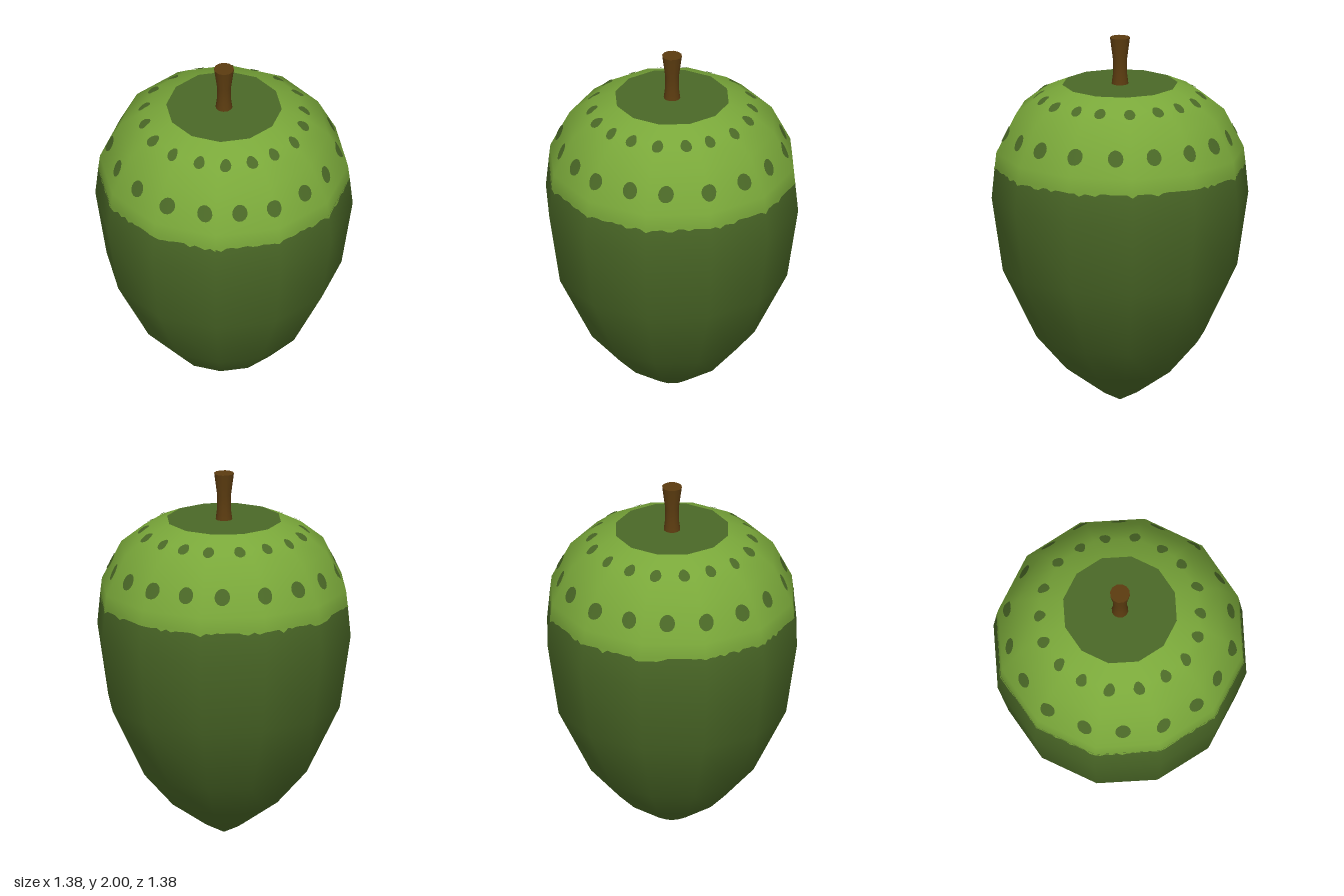
import * as THREE from 'three';

const SIDES = 12;
// Silhouette from the tip to the rim of the flat top; the cap starts at CAP_ROW
const PROFILE = [
  [0, 0], [0.1, 0.05], [0.29, 0.18], [0.45, 0.36], [0.63, 0.73], [0.69, 1.13],
  [0.674, 1.3], [0.665, 1.38], [0.56, 1.59], [0.435, 1.69], [0.31, 1.745],
];
const CAP_ROW = 6;

// Spot directions in degrees, measured from the back towards +x
const UPPER = [0, 19, 38, 59, 80, 98, 118, 138, 156, 175, 194, 215, 236, 257, 277, 297, 317, 338];
const LOWER = [9, 28, 48, 68, 89, 111, 130, 150, 168, 186, 206, 227, 247, 268, 288, 308, 328, 350];

function radiusAt(y) {
  let i = 1;
  while (i < PROFILE.length - 1 && PROFILE[i][1] < y) i++;
  const [r0, y0] = PROFILE[i - 1], [r1, y1] = PROFILE[i];
  return r0 + (r1 - r0) * (y - y0) / (y1 - y0);
}

// Point on the faceted shell (slightly lifted) with its smooth normal
function onShell(phi, y, lift) {
  const step = Math.PI * 2 / SIDES;
  const local = phi - Math.floor(phi / step) * step - step / 2;
  const facet = Math.cos(step / 2) / Math.cos(local);
  const lo = Math.max(y - 0.07, 0), hi = Math.min(y + 0.07, 1.745);
  const n = new THREE.Vector2(hi - lo, radiusAt(lo) - radiusAt(hi)).normalize();
  const normal = new THREE.Vector3(n.x * Math.sin(phi), n.y, n.x * Math.cos(phi));
  const r = radiusAt(y) * facet;
  const point = new THREE.Vector3(r * Math.sin(phi), y, r * Math.cos(phi)).addScaledVector(normal, lift);
  return { point, normal };
}

function shellGeometry(samples, index) {
  const pos = [], nor = [];
  for (const s of samples) {
    pos.push(...s.point.toArray());
    nor.push(...s.normal.toArray());
  }
  const geo = new THREE.BufferGeometry();
  geo.setAttribute('position', new THREE.Float32BufferAttribute(pos, 3));
  geo.setAttribute('normal', new THREE.Float32BufferAttribute(nor, 3));
  geo.setIndex(index);
  return geo;
}

// Rounded patch that follows the shell
function spotGeometry(phi, y, halfWidth, halfHeight) {
  const rings = 4, segs = 14, r = radiusAt(y), index = [];
  const samples = [onShell(phi, y, 0.004)];
  for (let k = 1; k <= rings; k++) {
    for (let s = 0; s < segs; s++) {
      const t = s / segs * Math.PI * 2, f = k / rings;
      samples.push(onShell(phi + Math.cos(t) * f * halfWidth / r, y + Math.sin(t) * f * halfHeight, 0.004));
      const a = 1 + (k - 1) * segs + s, b = 1 + (k - 1) * segs + (s + 1) % segs;
      if (k === 1) index.push(0, a, b);
      else index.push(a - segs, a, b, a - segs, b, b - segs);
    }
  }
  return shellGeometry(samples, index);
}

// Ragged lower edge of the cap
function hemGeometry() {
  const count = 144, samples = [], index = [];
  let seed = 7;
  const random = () => (seed = (seed * 16807) % 2147483647) / 2147483647;
  for (let i = 0; i <= count; i++) {
    const phi = i / count * Math.PI * 2;
    const drop = 0.002 + 0.022 * Math.pow(random(), 3);
    samples.push(onShell(phi, 1.302, 0.002), onShell(phi, 1.3 - drop, 0.002));
    if (i < count) index.push(2 * i, 2 * i + 1, 2 * i + 3, 2 * i, 2 * i + 3, 2 * i + 2);
  }
  return shellGeometry(samples, index);
}

export function createModel() {
  const darkGreen = new THREE.MeshStandardMaterial({ color: 0x4b6927 });
  const lightGreen = new THREE.MeshStandardMaterial({ color: 0x7aa83a });
  const brown = new THREE.MeshStandardMaterial({ color: 0x5c3c10 });
  darkGreen.name = 'dark green';
  lightGreen.name = 'light green';
  brown.name = 'stem brown';

  const model = new THREE.Group();
  model.name = 'acorn';
  const add = (name, geo, mat, parent = model) => {
    const mesh = new THREE.Mesh(geo, mat);
    mesh.name = name;
    parent.add(mesh);
    return mesh;
  };

  // Nut and cap share one smooth lathe, split by rows
  const shell = new THREE.LatheGeometry(PROFILE.map(p => new THREE.Vector2(...p)), SIDES);
  const rows = (from, to) => {
    const geo = shell.clone(), index = [], all = shell.index.array, n = PROFILE.length - 1;
    for (let i = 0; i < SIDES; i++) index.push(...all.slice((i * n + from) * 6, (i * n + to) * 6));
    return geo.setIndex(index);
  };
  add('nut', rows(0, CAP_ROW), darkGreen);
  add('cap', rows(CAP_ROW, PROFILE.length - 1), lightGreen);
  add('capHem', hemGeometry(), lightGreen);

  // Flat top
  const top = add('capTop', new THREE.CircleGeometry(0.31, SIDES), darkGreen);
  top.rotation.x = -Math.PI / 2;
  top.position.y = 1.745;

  // Two rows of spots
  const spots = new THREE.Group();
  spots.name = 'spots';
  model.add(spots);
  const toPhi = deg => Math.PI - THREE.MathUtils.degToRad(deg);
  UPPER.forEach(d => add('upperSpot', spotGeometry(toPhi(d), 1.68, 0.031, 0.021), darkGreen, spots));
  LOWER.forEach(d => add('lowerSpot', spotGeometry(toPhi(d), 1.48, 0.043, 0.042), darkGreen, spots));

  // Flared stem with a flat end
  const stemProfile = [[0.046, 1.74], [0.038, 1.8], [0.038, 1.88], [0.054, 2]];
  add('stem', new THREE.LatheGeometry(stemProfile.map(p => new THREE.Vector2(...p)), SIDES), brown);
  const end = add('stemEnd', new THREE.CircleGeometry(0.054, SIDES), brown);
  end.rotation.x = -Math.PI / 2;
  end.position.y = 2;

  return model;
}
